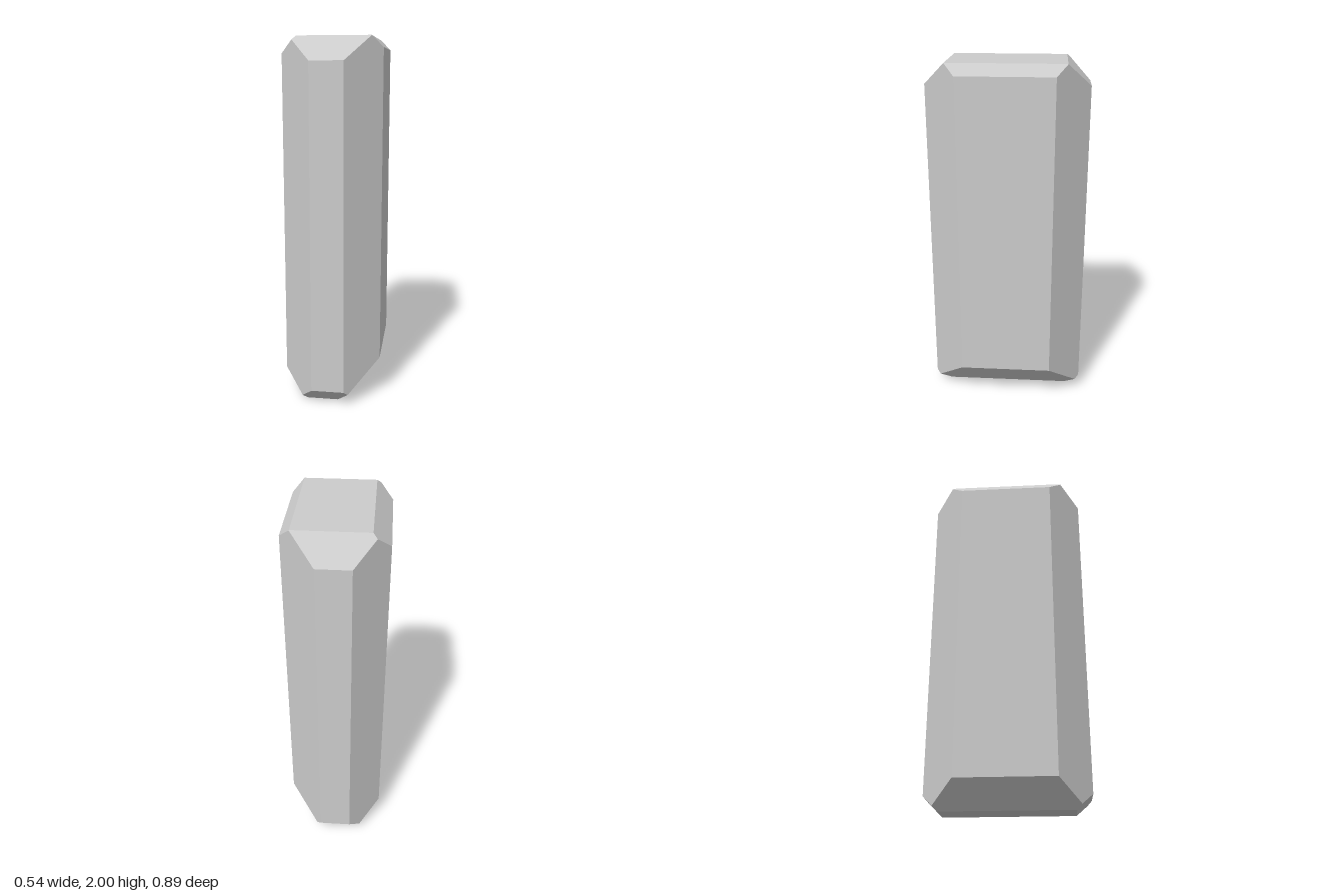
import * as THREE from 'three';
import { ConvexGeometry } from 'three/addons/geometries/ConvexGeometry.js';

// Corners of the solid bounded by planes [nx, ny, nz, d], where n . p <= d
function solidCorners(planes) {
  const corners = new Map();
  const m = new THREE.Matrix3();
  for (let i = 0; i < planes.length; i++)
    for (let j = i + 1; j < planes.length; j++)
      for (let k = j + 1; k < planes.length; k++) {
        const [a, b, c] = [planes[i], planes[j], planes[k]];
        m.set(a[0], a[1], a[2], b[0], b[1], b[2], c[0], c[1], c[2]);
        if (Math.abs(m.determinant()) < 1e-6) continue;
        const p = new THREE.Vector3(a[3], b[3], c[3]).applyMatrix3(m.invert());
        if (planes.every(([x, y, z, d]) => x * p.x + y * p.y + z * p.z <= d + 1e-6))
          corners.set(p.toArray().map((v) => Math.round(v * 1e4)).join(), p);
      }
  return [...corners.values()];
}

export function createModel() {
  const group = new THREE.Group();
  group.name = 'crystal';

  // Top and base, and the slopes cut along the long sides
  const planes = [
    [0, 1, 0, 2], [0, -1, 0, 0],
    [1, 0, 0, 0.268], [-1, 0, 0, 0.27],
    [1, 1, 0, 2.21], [-1, 1, 0, 2.181],
    [1, -1, 0, 0.042], [-1, -1, 0, 0.13],
  ];
  // Front and back: flat face, upright corner cuts, end slopes
  for (const s of [1, -1]) {
    planes.push(
      [0, 0, s, 0.443],
      [1, 0, s, 0.527], [-1, 0, s, 0.538],
      [0, 1, s, 2.315], [0, -1, s, 0.357],
    );
  }

  const body = new THREE.Mesh(
    new ConvexGeometry(solidCorners(planes)),
    new THREE.MeshStandardMaterial({ color: 0xcccccc, flatShading: true }),
  );
  body.name = 'facetedBody';
  group.add(body);
  return group;
}
